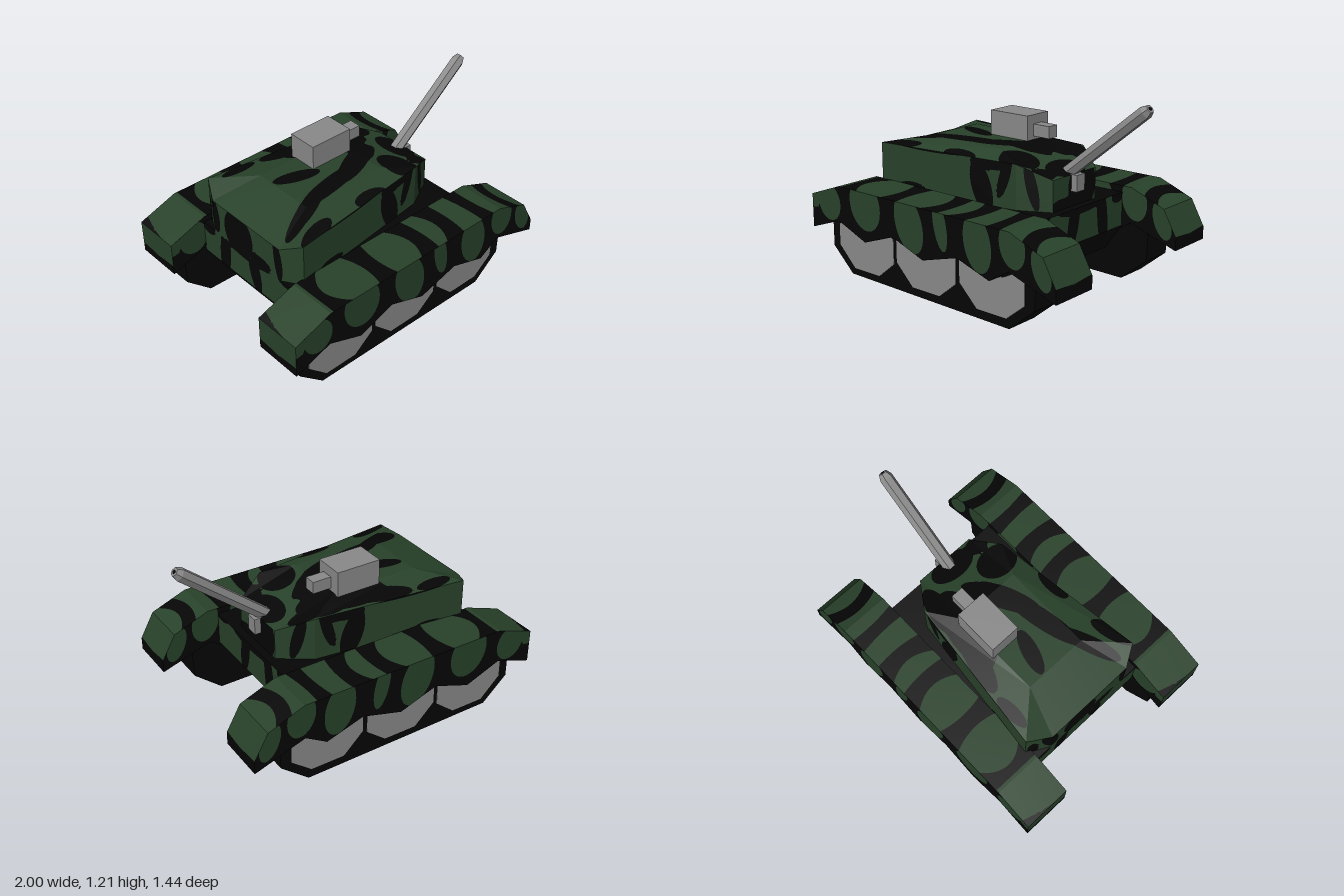
import * as THREE from 'three';

const mat = (name, color) => Object.assign(new THREE.MeshStandardMaterial({ color }), { name });

// Smooth curve through three values, t from 0 to 1
const bend = (a, b, c, t) => a * (1 - t) * (1 - 2 * t) + b * 4 * t * (1 - t) + c * t * (2 * t - 1);

// Camouflage fields: positive is dark, negative is green
const stripes = (list) => (u, t) => Math.max(...list.map(
  ([a, b, c, wa, wb, wc]) => bend(wa, wb, wc, t) - Math.abs(u - bend(a, b, c, t))));
const blobs = (list) => (u, v) => Math.max(...list.map(([x, y, rx, ry, turn = 0]) => {
  const c = Math.cos(turn), s = Math.sin(turn), dx = u - x, dy = v - y;
  return 1 - Math.hypot((dx * c + dy * s) / rx, (dy * c - dx * s) / ry);
}));

// Cut each face along the camouflage outline and sort the pieces into two material groups
function camouflage(geometry, field) {
  const pos = geometry.attributes.position, sorted = [[], []];
  const split = (a, b, c, f) => {
    const ab = a.distanceTo(b), bc = b.distanceTo(c), ca = c.distanceTo(a);
    if (Math.max(ab, bc, ca) > 0.035) {
      // Halve the longest edge
      const [p, q, r] = ab >= bc && ab >= ca ? [a, b, c] : bc >= ca ? [b, c, a] : [c, a, b];
      const mid = p.clone().lerp(q, 0.5);
      split(p, mid, r, f);
      split(mid, q, r, f);
      return;
    }
    const p = [a, b, c], v = p.map(f), dark = v.map((k) => k > 0);
    const put = (side, ...q) => sorted[side ? 1 : 0].push(...q);
    if (dark[0] === dark[1] && dark[1] === dark[2]) {
      put(dark[0], ...p);
      return;
    }
    const i = [0, 1, 2].find((k) => dark[k] !== dark[(k + 1) % 3] && dark[k] !== dark[(k + 2) % 3]);
    const j = (i + 1) % 3, k = (i + 2) % 3;
    const pj = p[i].clone().lerp(p[j], v[i] / (v[i] - v[j]));
    const pk = p[i].clone().lerp(p[k], v[i] / (v[i] - v[k]));
    put(dark[i], p[i], pj, pk);
    put(dark[j], pj, p[j], p[k], pj, p[k], pk);
  };
  for (let i = 0; i < pos.count; i += 3) {
    const [a, b, c] = [0, 1, 2].map((k) => new THREE.Vector3().fromBufferAttribute(pos, i + k));
    const n = b.clone().sub(a).cross(c.clone().sub(a));
    if (n.length() < 1e-7) continue;
    n.normalize();
    split(a, b, c, (p) => field(p, n));
  }
  const out = new THREE.BufferGeometry().setFromPoints(sorted.flat());
  out.addGroup(0, sorted[0].length, 0);
  out.addGroup(sorted[0].length, sorted[1].length, 1);
  out.computeVertexNormals();
  return out;
}

// Side profile in x and y, extruded to a width centred on z = 0
function slab(points, width) {
  const shape = new THREE.Shape(points.map(([x, y]) => new THREE.Vector2(x, y)));
  return new THREE.ExtrudeGeometry(shape, { depth: width, bevelEnabled: false }).translate(0, 0, -width / 2);
}

// Paint patterns: dark shapes, except the green leaves along the fender sides
const fenderTop = stripes([
  [-0.98, -1, -1.02, 0.03, 0.01, 0.01], [-0.66, -0.7, -0.66, 0.07, 0.03, 0.07],
  [-0.33, -0.32, -0.32, 0.08, 0.05, 0.07], [0, 0.04, 0.01, 0.07, 0.05, 0.07],
  [0.23, 0.26, 0.22, 0.07, 0.05, 0.07], [0.48, 0.49, 0.5, 0.05, 0.04, 0.05],
  [0.74, 0.7, 0.75, 0.05, 0.04, 0.05], [0.92, 0.91, 0.93, 0.03, 0.02, 0.03]]);
const fenderLeaves = blobs([
  [-0.99, 0.48, 0.06, 0.06], [-0.84, 0.48, 0.1, 0.115, 0.2], [-0.52, 0.52, 0.13, 0.16, 0.25],
  [-0.15, 0.48, 0.11, 0.18, 0.3], [0.1, 0.52, 0.05, 0.15, 0.2], [0.38, 0.48, 0.1, 0.17, 0.2],
  [0.63, 0.52, 0.09, 0.13, 0.2], [0.83, 0.43, 0.06, 0.12, 0.35]]);
const fenderEnd = blobs([[0.17, 0.28, 0.3, 0.07], [-0.17, 0.28, 0.3, 0.07]]);
const hullEnd = blobs([[0.07, 0.47, 0.05, 0.16, 0.2], [0, 0.56, 0.22, 0.045],
  [-0.21, 0.44, 0.05, 0.2, -0.1], [0.36, 0.56, 0.08, 0.03], [-0.36, 0.54, 0.06, 0.04]]);
const turretRoof = blobs([
  [-0.16, -0.32, 0.2, 0.06, 0.25], [0.05, -0.22, 0.28, 0.12, 0.2], [0.24, -0.26, 0.18, 0.07, 0.2],
  [-0.22, 0.13, 0.27, 0.06, -0.2], [0.05, 0.05, 0.25, 0.07, -0.45], [0.24, 0.2, 0.11, 0.13],
  [-0.5, 0.22, 0.22, 0.05, -0.4], [-0.55, 0.38, 0.14, 0.05, -0.3], [0.42, 0, 0.09, 0.15],
  [0.16, -0.06, 0.09, 0.14, 0.3], [-0.1, 0.34, 0.12, 0.05], [-0.32, -0.06, 0.15, 0.05, 0.3],
  [0.42, 0.2, 0.06, 0.08], [-0.5, -0.38, 0.12, 0.04]]);
const turretSide = blobs([[0.06, 0.66, 0.07, 0.16, 0.3], [-0.3, 0.84, 0.28, 0.025],
  [0.22, 0.74, 0.035, 0.14, -0.3], [-0.72, 0.66, 0.04, 0.1], [-0.45, 0.58, 0.1, 0.03],
  [0.38, 0.7, 0.03, 0.15, 0.2], [0.12, 0.81, 0.14, 0.04]]);
const turretEnd = blobs([[-0.07, 0.66, 0.13, 0.16], [0.28, 0.7, 0.03, 0.16, 0.1],
  [-0.3, 0.7, 0.05, 0.14, 0.2], [0.12, 0.58, 0.1, 0.04], [-0.4, 0.62, 0.03, 0.12]]);

export function createModel() {
  const model = new THREE.Group();
  const green = mat('forest green paint', 0x28422a);
  const black = mat('black paint', 0x050505);
  const grey = mat('grey metal', 0x8a8a8a);
  const add = (name, geometry, material, parent = model) => {
    const mesh = new THREE.Mesh(geometry, material);
    mesh.name = name;
    parent.add(mesh);
    return mesh;
  };

  // Fenders with a zigzag lower edge
  const fender = camouflage(slab([
    [-1, 0.29], [-0.757, 0.375], [-0.527, 0.286], [-0.286, 0.372], [-0.04, 0.286], [0.227, 0.362],
    [0.468, 0.286], [0.607, 0.372], [0.93, 0.265], [0.93, 0.345], [0.84, 0.505], [0.61, 0.595],
    [-0.75, 0.595], [-1, 0.505]], 0.31), (p, n) => {
    if (n.y < -0.3) return 1;
    if (Math.abs(n.z) > 0.7) return -fenderLeaves(p.x, p.y);
    if (Math.abs(n.x) > 0.7) return fenderEnd(p.z, p.y);
    return fenderTop(p.x, p.z / 0.31 + 0.5);
  });

  // Tracks and wheel plates, each plate notched under the fender edge
  const track = slab([[-0.91, 0.165], [-0.745, 0.015], [0.54, 0], [0.72, 0.15], [0.73, 0.4], [-0.91, 0.4]], 0.215);
  const wheel = slab([[-0.11, -0.186], [0.11, -0.186], [0.241, -0.08], [0.241, 0.074], [0.19, 0.1],
    [0.08, 0.045], [-0.15, 0.133], [-0.241, 0.074], [-0.241, -0.06]], 0.012);
  for (const side of [1, -1]) {
    const label = side > 0 ? 'front' : 'back';
    add(label + 'Fender', fender, [green, black]).position.z = side * 0.565;
    add(label + 'Track', track, black).position.z = side * 0.53;
    [-0.607, -0.099, 0.412].forEach((x, i) =>
      add(`${label}Wheel${i + 1}`, wheel, grey).position.set(x, 0.244, side * 0.635));
  }

  // Hull between the tracks
  add('hull', camouflage(slab([[-0.65, 0.175], [0.42, 0.175], [0.54, 0.345], [0.54, 0.555],
    [-0.755, 0.555], [-0.755, 0.345]], 0.83), (p, n) => {
    if (n.y < -0.3) return n.x > 0.3 ? Math.hypot((p.z - 0.41) / 0.31, (p.y - 0.345) / 0.09) - 1 : 1;
    if (Math.abs(n.x) > 0.7) return hullEnd(p.z, p.y);
    return 1;
  }), [green, black]);

  // Faceted turret: base, rim and roof loops, each point [x, z, rim height, roof x, roof z]
  const plan = [
    [-0.755, 0.3, 0.778, -0.47, 0.2], [-0.68, 0.42, 0.826, -0.47, 0.2],
    [0.3, 0.3, 0.826, 0.1, 0.2], [0.49, 0.2, 0.745, 0.1, 0.2],
    [0.49, -0.2, 0.745, 0.1, -0.21], [0.3, -0.33, 0.826, 0.1, -0.21],
    [-0.68, -0.44, 0.826, -0.47, -0.21], [-0.755, -0.3, 0.778, -0.47, -0.21]];
  const loops = [
    plan.map(([x, z]) => new THREE.Vector3(x, 0.55, z)),
    plan.map(([x, z, y]) => new THREE.Vector3(x, y, z)),
    plan.map(([, , , x, z]) => new THREE.Vector3(x, 0.867, z))];
  const faces = [];
  for (let i = 0; i < 8; i++) {
    const j = (i + 1) % 8;
    for (let k = 0; k < 2; k++) {
      const [lo, hi] = [loops[k], loops[k + 1]];
      faces.push(lo[i], lo[j], hi[j], lo[i], hi[j], hi[i]);
    }
    faces.push(loops[2][0], loops[2][i], loops[2][j]);
  }
  add('turret', camouflage(new THREE.BufferGeometry().setFromPoints(faces), (p, n) => {
    if (n.y > 0.3) return turretRoof(p.x, p.z);
    return Math.abs(n.x) > 0.6 ? turretEnd(p.z, p.y) : turretSide(p.x, p.y);
  }), [green, black]);

  // Roof gun
  add('roofGunBody', new THREE.BoxGeometry(0.29, 0.16, 0.195), grey).position.set(-0.055, 0.94, -0.147);
  add('roofGunBarrel', new THREE.BoxGeometry(0.12, 0.075, 0.077), grey).position.set(0.155, 0.927, -0.14);

  // Raised six-sided main gun with a tapered muzzle and dark bore
  add('gunMount', new THREE.BoxGeometry(0.09, 0.1, 0.075), grey).position.set(0.485, 0.697, -0.005);
  const gun = new THREE.Group();
  gun.name = 'mainGun';
  gun.position.set(0.455, 0.757, -0.005);
  gun.rotation.z = Math.atan2(0.425, 0.52) - Math.PI / 2;
  model.add(gun);
  const prism = (top, bottom, length, y) => {
    const g = new THREE.CylinderGeometry(top, bottom, length, 6).toNonIndexed().translate(0, y, 0);
    g.computeVertexNormals();
    return g;
  };
  add('gunBarrel', prism(0.042, 0.042, 0.68, 0.31), grey, gun);
  add('gunMuzzle', prism(0.027, 0.042, 0.035, 0.6675), grey, gun);
  add('gunBore', prism(0.012, 0.012, 0.004, 0.686), black, gun);
  return model;
}
